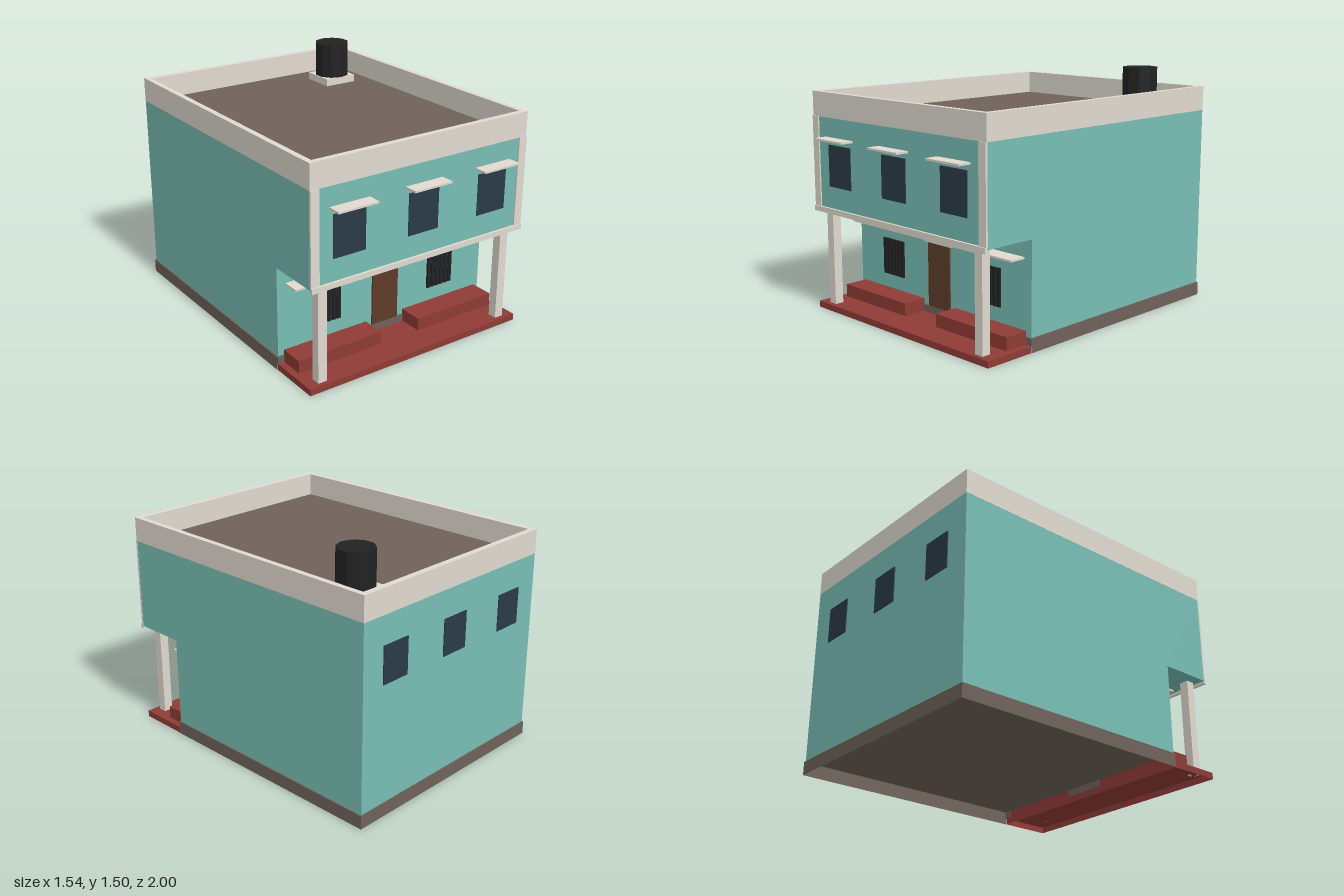
import * as THREE from 'three';

const mat = (name, color, side = THREE.FrontSide) => {
  const m = new THREE.MeshStandardMaterial({ color, side });
  m.name = name;
  return m;
};

export function createModel() {
  const house = new THREE.Group();
  house.name = 'house';
  const teal = mat('teal wall', 0x78beb4);
  const cream = mat('cream trim', 0xe0dad0);
  const brown = mat('brown stone', 0x6e625a, THREE.DoubleSide);
  const red = mat('red floor', 0x8f3b35, THREE.DoubleSide);
  const wood = mat('door wood', 0x5e3c2a);
  const glass = mat('window glass', 0x2a3c45);
  const black = mat('black', 0x222222);

  // Box given by its extents on each axis
  const box = (name, m, x0, x1, y0, y1, z0, z1) => {
    const b = new THREE.Mesh(new THREE.BoxGeometry(x1 - x0, y1 - y0, z1 - z0), m);
    b.position.set((x0 + x1) / 2, (y0 + y1) / 2, (z0 + z1) / 2);
    b.name = name;
    house.add(b);
    return b;
  };

  // Leave faces out of a box (order: +x, -x, +y, -y, +z, -z)
  const openFaces = (mesh, faces) => {
    const index = Array.from(mesh.geometry.index.array);
    mesh.geometry.setIndex(index.filter((_, i) => !faces.includes(Math.floor(i / 6))));
    mesh.geometry.clearGroups();
  };

  // Extruded side profile: ground floor set back under the upper floor
  const profile = new THREE.Shape([
    [-0.575, 0.085], [0.994, 0.085], [0.994, 1.222], [-0.915, 1.222], [-0.915, 0.65], [-0.575, 0.65],
  ].map(([a, b]) => new THREE.Vector2(a, b)));
  const wallGeo = new THREE.ExtrudeGeometry(profile, { depth: 1.524, bevelEnabled: false });
  wallGeo.rotateY(Math.PI / 2).translate(-0.762, 0, 0);
  const walls = new THREE.Mesh(wallGeo, teal);
  walls.name = 'walls';
  house.add(walls);

  // Hollow plinth, open below and towards the porch, and hollow porch floor
  openFaces(box('plinth', brown, -0.77, 0.77, 0, 0.084, -1, 0.58), [3, 4]);
  openFaces(box('porchFloor', red, -0.767, 0.767, 0, 0.04, 0.58, 0.915), [3]);
  box('doorStep', brown, -0.14, 0.14, 0.04, 0.084, 0.575, 0.585);

  // Roof and parapet ring
  box('roof', brown, -0.735, 0.735, 1.22, 1.228, -0.965, 0.885);
  const ring = new THREE.Shape();
  ring.moveTo(-0.763, -0.917).lineTo(0.763, -0.917).lineTo(0.763, 0.995).lineTo(-0.763, 0.995).closePath();
  const hole = new THREE.Path();
  hole.moveTo(-0.728, -0.88).lineTo(-0.728, 0.957).lineTo(0.728, 0.957).lineTo(0.728, -0.88).closePath();
  ring.holes.push(hole);
  const ringGeo = new THREE.ExtrudeGeometry(ring, { depth: 0.152, bevelEnabled: false });
  ringGeo.rotateX(-Math.PI / 2).translate(0, 1.222, 0);
  const parapet = new THREE.Mesh(ringGeo, cream);
  parapet.name = 'parapet';
  house.add(parapet);

  // Water tank on its slab
  box('tankSlab', cream, 0.38, 0.602, 1.228, 1.275, -0.802, -0.58);
  const tankGeo = new THREE.CylinderGeometry(0.112, 0.112, 0.223, 10).toNonIndexed();
  tankGeo.computeVertexNormals();
  const tank = new THREE.Mesh(tankGeo, black);
  tank.position.set(0.493, 1.3865, -0.688);
  tank.name = 'waterTank';
  house.add(tank);

  // Upper front frame
  box('frontBand', cream, -0.763, 0.763, 0.632, 0.665, 0.912, 0.93);
  for (const s of [-1, 1]) {
    const span = (a, b) => (s > 0 ? [a, b] : [-b, -a]);
    box('cornerTrim', cream, ...span(0.707, 0.763), 0.665, 1.222, 0.91, 0.923);
    box('porchColumn', cream, ...span(0.636, 0.695), 0.04, 0.65, 0.83, 0.887);
    box('bench', red, ...span(0.14, 0.725), 0.04, 0.12, 0.58, 0.735);
    box('plinthEnd', brown, ...span(0.725, 0.769), 0.04, 0.084, 0.575, 0.582);

    // Barred ground floor windows
    box('groundWindow', glass, ...span(0.332, 0.52), 0.212, 0.438, 0.57, 0.579);
    for (let i = 0; i < 6; i++) {
      const x = 0.33 + i * 0.0334;
      box('windowBar', black, ...span(x, x + 0.024), 0.21, 0.44, 0.575, 0.588);
    }
  }

  // Door, lintel and porch ledge
  box('door', wood, -0.095, 0.095, 0.085, 0.488, 0.57, 0.585);
  box('doorLintel', cream, -0.117, 0.117, 0.488, 0.514, 0.57, 0.597);
  box('porchLedge', cream, -0.705, 0.705, 0.528, 0.54, 0.57, 0.68);

  // Upper windows, awnings and back windows
  for (const x of [-0.508, 0, 0.508]) {
    box('upperWindow', glass, x - 0.107, x + 0.107, 0.8, 1.058, 0.911, 0.919);
    box('awning', cream, x - 0.132, x + 0.132, 1.092, 1.104, 0.91, 1);
    box('backWindow', glass, x - 0.098, x + 0.098, 0.82, 1.048, -1, -0.992);
  }
  return house;
}
